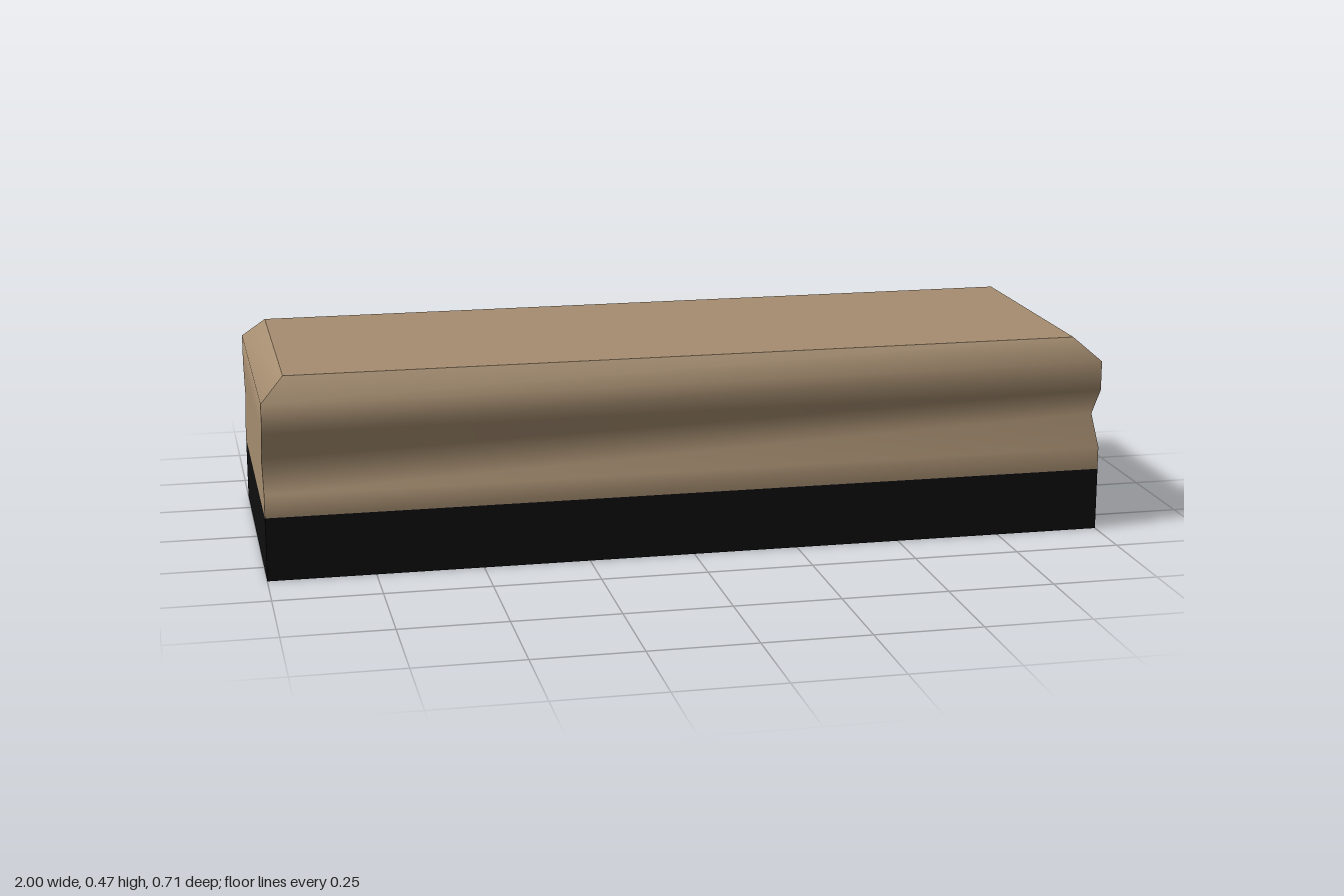
import * as THREE from 'three';

// Corner signs (x, z), counter-clockwise seen from above
const CORNERS = [[-1, 1], [1, 1], [1, -1], [-1, -1]];

// Stacks rectangular rings [y, halfX, halfZ]; each side is smooth along its height, corners and caps are sharp
function ringBlock(rings) {
  const pos = [], idx = [];
  const add = ([y, hx, hz], [sx, sz]) => pos.push(sx * hx, y, sz * hz);
  for (let s = 0; s < 4; s++) {
    const base = pos.length / 3;
    for (const ring of rings) {
      add(ring, CORNERS[s]);
      add(ring, CORNERS[(s + 1) % 4]);
    }
    for (let i = 0; i < rings.length - 1; i++) {
      const a = base + 2 * i;
      idx.push(a, a + 1, a + 3, a, a + 3, a + 2);
    }
  }
  // Top and bottom caps
  const top = pos.length / 3;
  for (const c of CORNERS) add(rings[rings.length - 1], c);
  for (const c of CORNERS) add(rings[0], c);
  idx.push(top, top + 1, top + 2, top, top + 2, top + 3);
  idx.push(top + 4, top + 6, top + 5, top + 4, top + 7, top + 6);

  const geo = new THREE.BufferGeometry();
  geo.setAttribute('position', new THREE.Float32BufferAttribute(pos, 3));
  geo.setIndex(idx);
  geo.computeVertexNormals();
  return geo;
}

export function createModel() {
  const group = new THREE.Group();
  group.name = 'blockEraser';

  const wood = new THREE.MeshStandardMaterial({ color: 0xa58d70 });
  wood.name = 'tan wood';
  const felt = new THREE.MeshStandardMaterial({ color: 0x0e0e0e });
  felt.name = 'black felt';

  const seam = 0.15, halfX = 1, halfZ = 0.357;

  // Wooden grip: finger groove along front and back, bevelled top
  const grip = new THREE.Mesh(ringBlock([
    [seam, halfX, halfZ],
    [0.204, halfX, halfZ],
    [0.275, halfX, 0.302],
    [0.347, halfX, halfZ],
    [0.417, halfX, halfZ],
    [0.468, 0.945, 0.304],
  ]), wood);
  grip.name = 'grip';

  // Felt pad underneath
  const pad = new THREE.Mesh(ringBlock([
    [0, halfX, halfZ],
    [seam, halfX, halfZ],
  ]), felt);
  pad.name = 'feltPad';

  group.add(grip, pad);
  return group;
}
